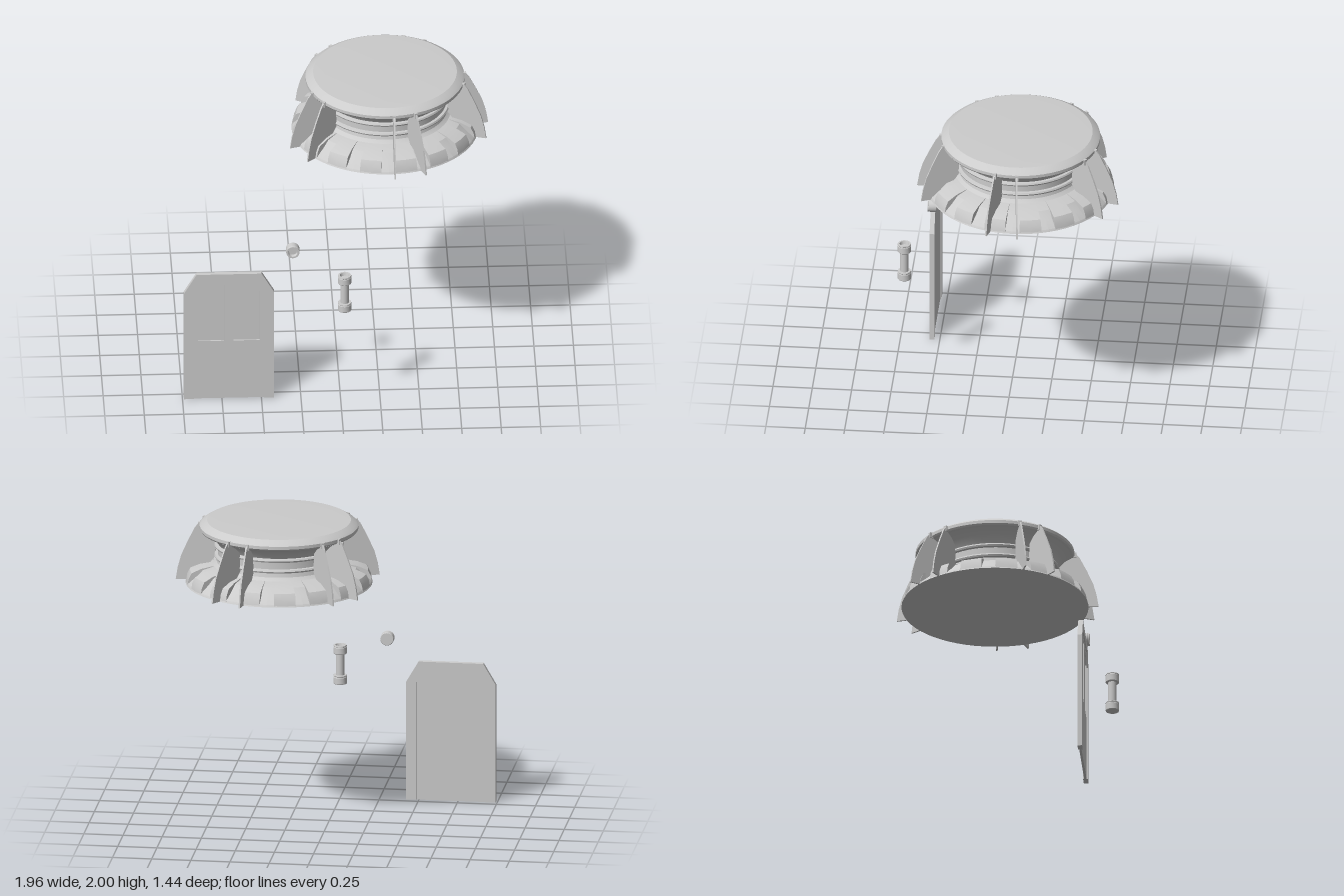
import * as THREE from 'three';
import { toCreasedNormals } from 'three/addons/utils/BufferGeometryUtils.js';

const material = new THREE.MeshStandardMaterial({ color: 0xcccccc });
const thinMaterial = new THREE.MeshStandardMaterial({ color: 0xcccccc, side: THREE.DoubleSide });
const vectors = (pts) => pts.map(([x, y]) => new THREE.Vector2(x, y));

function addMesh(parent, name, geometry, mat = material) {
  const mesh = new THREE.Mesh(geometry, mat);
  mesh.name = name;
  parent.add(mesh);
  return mesh;
}

function addGroup(parent, name, x = 0, y = 0, z = 0) {
  const group = new THREE.Group();
  group.name = name;
  group.position.set(x, y, z);
  parent.add(group);
  return group;
}

const lathe = (pts, segments, start, length) =>
  toCreasedNormals(new THREE.LatheGeometry(vectors(pts), segments, start, length), 0.45);

// Flat plate between z = back and z = front
function plate(outline, holes, back, front) {
  const shape = new THREE.Shape(vectors(outline));
  holes.forEach((h) => shape.holes.push(new THREE.Path(vectors(h))));
  return new THREE.ExtrudeGeometry(shape, { depth: front - back, bevelEnabled: false, curveSegments: 8 })
    .translate(0, 0, back);
}

function buildRoof(root) {
  const roof = addGroup(root, 'roof', 0.31, 0, -0.08);

  // Domed lid, flared neck with two bands
  addMesh(roof, 'lid', lathe([
    [0, 1.925], [0.47, 1.925], [0.495, 1.935], [0.503, 1.945], [0.503, 1.965],
    [0.49, 1.977], [0.455, 1.997], [0.38, 2], [0, 2],
  ], 64));
  const neck = [[0.48, 1.68], [0.42, 1.705], [0.395, 1.73]];
  for (const y of [1.77, 1.84]) {
    neck.push([0.388, y - 0.012], [0.405, y - 0.01], [0.41, y], [0.405, y + 0.01], [0.388, y + 0.012]);
  }
  neck.push([0.4, 1.87], [0.425, 1.9], [0.485, 1.93]);
  addMesh(roof, 'neck', lathe(neck, 64));

  // Skirt: sunken core with raised blocks around it
  addMesh(roof, 'skirtCore', lathe([
    [0, 1.59], [0.592, 1.59], [0.585, 1.605], [0.53, 1.65], [0.49, 1.69], [0.42, 1.71], [0, 1.715],
  ], 64));
  const blockProfile = [[0.59, 1.59], [0.582, 1.635], [0.563, 1.672], [0.5, 1.698], [0.42, 1.713]];
  const blockSide = new THREE.Shape(vectors([...blockProfile, [0.42, 1.59]]));
  const blocks = addGroup(roof, 'skirtBlocks');
  const step = Math.PI / 8;
  const width = step * 0.6;
  for (let i = 0; i < 16; i++) {
    const start = (i + 0.5) * step - width / 2;
    addMesh(blocks, 'skirtBlock', lathe(blockProfile, 2, start, width));
    for (const phi of [start, start + width]) {
      addMesh(blocks, 'skirtBlockSide',
        new THREE.ShapeGeometry(blockSide).rotateY(phi - Math.PI / 2), thinMaterial);
    }
  }

  // Five pairs of splayed fins with clips under the lid
  const finGeometry = plate([
    [0.655, 1.59], [0.642, 1.67], [0.62, 1.75], [0.58, 1.84], [0.535, 1.93], [0.51, 1.963],
    [0.49, 1.963], [0.475, 1.93], [0.44, 1.905], [0.405, 1.87], [0.4, 1.75], [0.44, 1.7], [0.55, 1.59],
  ], [], -0.005, 0.005);
  const splay = THREE.MathUtils.degToRad(12);
  for (let i = 0; i < 5; i++) {
    const pair = addGroup(roof, 'finPair');
    pair.rotation.y = -THREE.MathUtils.degToRad(5.8 + 72 * i);
    for (const side of [-1, 1]) {
      const mount = addGroup(pair, 'finMount');
      mount.rotation.y = -side * splay;
      addMesh(mount, 'fin', finGeometry).position.z = -side * 0.036;
      addMesh(mount, 'finClip', new THREE.BoxGeometry(0.028, 0.036, 0.022))
        .position.set(0.5, 1.95, -side * 0.036);
    }
  }
}

function buildDoor(root) {
  const door = addGroup(root, 'door', -0.705, 0, 0.55);
  const outline = (w, y0, shoulder, top, cut) => [
    [-w, y0], [w, y0], [w, shoulder], [w - cut, top], [cut - w, top], [-w, shoulder],
  ];
  const inner = outline(0.222, 0, 0.775, 0.86, 0.055);

  // Frame is open at the bottom, so it is one arch-shaped outline
  const outer = outline(0.286, 0, 0.775, 0.912, 0.08);
  const arch = [...outer.slice(1), outer[0], inner[0], ...inner.slice(2).reverse(), inner[1]];
  addMesh(door, 'doorFrame', plate(arch, [], -0.015, 0.015));

  // Leaf with two sunken window panes
  const windows = [-1, 1].map((s) =>
    [[0.03, 0.42], [0.195, 0.42], [0.195, 0.78], [0.16, 0.828], [0.03, 0.828]].map(([x, y]) => [s * x, y]));
  addMesh(door, 'doorLeaf', plate(inner, windows, -0.002, 0.007));
  addMesh(door, 'doorBacking', plate(inner, [], -0.008, -0.002));
}

// Knob with a hollow open end, standing on y = 0
const knobProfile = [
  [0, 0], [0.04, 0], [0.043, 0.004], [0.043, 0.044], [0.041, 0.046], [0.041, 0.05],
  [0.043, 0.052], [0.041, 0.058], [0.03, 0.058], [0.025, 0.038], [0, 0.038],
];

function buildHandles(root) {
  const knob = addMesh(root, 'knob', lathe(knobProfile, 24));
  knob.position.set(-0.3, 1.06, 0.506);
  knob.rotation.x = Math.PI / 2;

  // Upright handle: grip between two end caps
  const handle = addGroup(root, 'handle', 0.022, 0.705, 0.685);
  addMesh(handle, 'handleGrip', new THREE.CylinderGeometry(0.027, 0.027, 0.16, 24)).position.y = 0.125;
  addMesh(handle, 'bottomCap', lathe([
    [0, 0], [0.041, 0], [0.043, 0.003], [0.043, 0.043], [0.041, 0.046], [0.041, 0.05],
    [0.043, 0.053], [0.041, 0.058], [0, 0.058],
  ], 24));
  addMesh(handle, 'topCap', lathe(knobProfile, 24)).position.y = 0.197;
}

export function createModel() {
  const root = new THREE.Group();
  root.name = 'buildingParts';
  buildRoof(root);
  buildDoor(root);
  buildHandles(root);
  return root;
}
